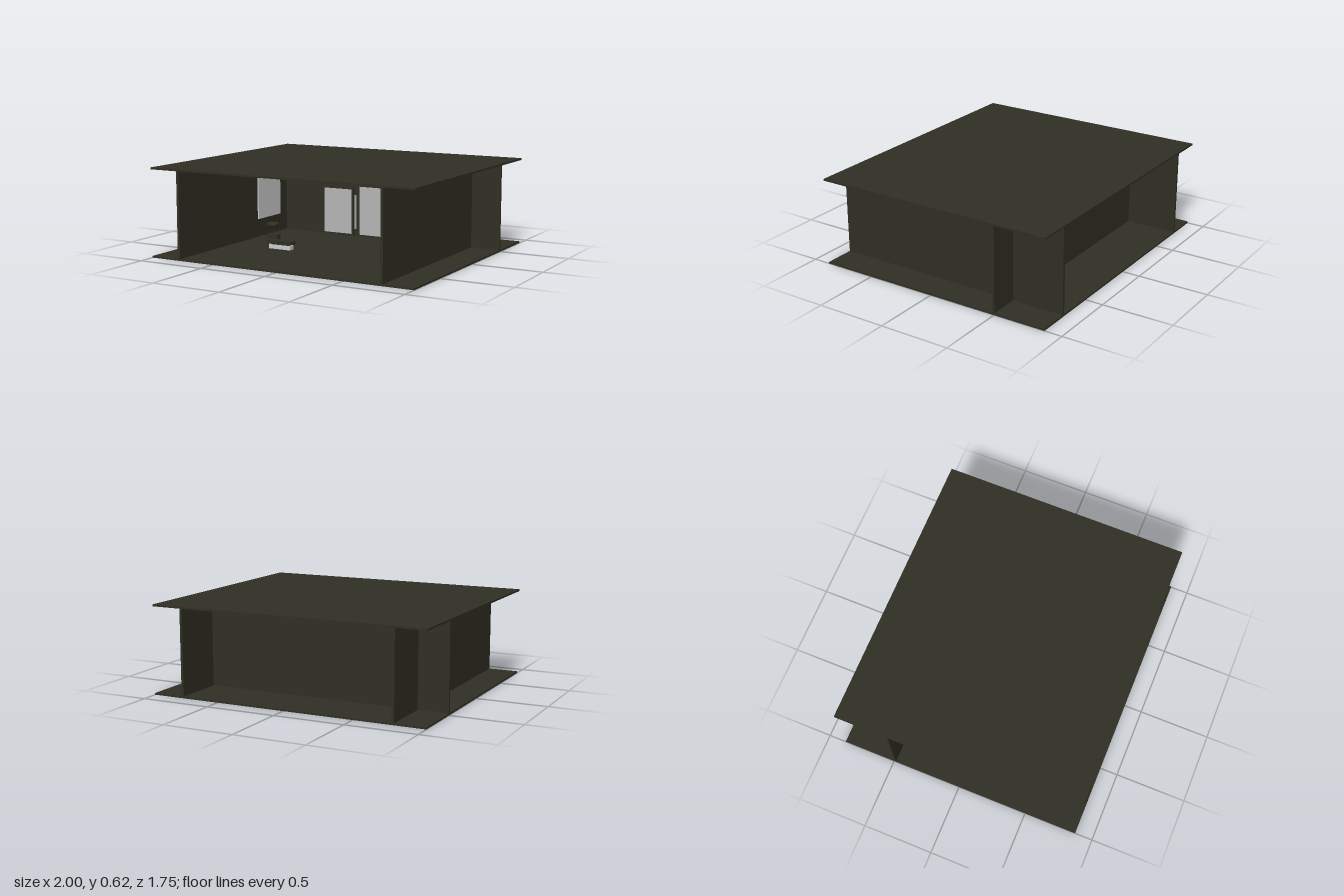
import * as THREE from 'three';

const mat = (name, color) => {
  const m = new THREE.MeshStandardMaterial({ color });
  m.name = name;
  return m;
};

export function createModel() {
  const model = new THREE.Group();
  model.name = 'pavilion';
  const dark = mat('dark olive', 0x2f2f24);
  const grey = mat('panel grey', 0xb6b6b6);
  const pale = mat('pale grey', 0xcccccc);

  // box given by its lower and upper limits on each axis
  const box = (name, material, [x0, x1], [y0, y1], [z0, z1], parent = model) => {
    const mesh = new THREE.Mesh(new THREE.BoxGeometry(x1 - x0, y1 - y0, z1 - z0), material);
    mesh.position.set((x0 + x1) / 2, (y0 + y1) / 2, (z0 + z1) / 2);
    mesh.name = name;
    parent.add(mesh);
    return mesh;
  };

  // floor and roof slabs
  const floorTop = 0.012, roofBottom = 0.612;
  box('floor', dark, [-1, 1], [0, floorTop], [-0.875, 0.875]);
  box('roof', dark, [-1, 1], [roofBottom, 0.625], [-0.875, 0.875]);

  // side walls run the full depth, the back wall crosses them
  const wallY = [floorTop, roofBottom];
  for (const s of [-1, 1]) {
    const side = s < 0 ? 'right' : 'left';
    box(side + 'Wall', dark, [s * 0.775 - 0.009, s * 0.775 + 0.009], wallY, [-0.874, 0.874]);
    box(side + 'BackWing', dark, s < 0 ? [-0.999, -0.784] : [0.784, 0.999], wallY, [-0.502, -0.484]);
  }
  box('backWall', dark, [-0.766, 0.766], wallY, [-0.502, -0.484]);

  // framed panels standing along the back wall
  const panels = [[-0.43, -0.165, 0.377], [-0.127, 0.18, 0.403], [0.215, 0.495, 0.412]];
  panels.forEach(([x0, x1, top], i) => {
    const g = new THREE.Group();
    g.name = 'framedPanel' + (i + 1);
    model.add(g);
    const t = 0.014, z = [-0.484, -0.46];
    box('frameRight', dark, [x0, x0 + t], [floorTop, top], z, g);
    box('frameLeft', dark, [x1 - t, x1], [floorTop, top], z, g);
    box('frameTop', dark, [x0 + t, x1 - t], [top - t, top], z, g);
    box('frameBottom', dark, [x0 + t, x1 - t], [floorTop, 0.025], z, g);
    box('panel', grey, [x0 + t, x1 - t], [0.025, top - t], [-0.478, -0.468], g);
  });

  // thin pale strips between the panels and a picture on the side wall
  box('stripRight', pale, [-0.153, -0.148], [0.065, 0.322], [-0.484, -0.46]);
  box('stripLeft', pale, [0.185, 0.19], [0.065, 0.345], [-0.484, -0.46]);
  box('wallPicture', pale, [-0.766, -0.757], [0.147, 0.455], [-0.38, -0.08]);

  // low bench with a pale base
  const bench = new THREE.Group();
  bench.name = 'bench';
  model.add(bench);
  box('benchBase', pale, [-0.455, -0.278], [floorTop, 0.042], [0.205, 0.25], bench);
  box('benchCore', dark, [-0.44, -0.29], [0.042, 0.052], [0.21, 0.245], bench);
  box('benchTop', dark, [-0.473, -0.262], [0.052, 0.073], [0.2, 0.258], bench);

  // sculpture on a plinth
  const sculpture = new THREE.Group();
  sculpture.name = 'sculpture';
  model.add(sculpture);
  box('plinth', dark, [-0.615, -0.53], [floorTop, 0.067], [-0.025, 0.025], sculpture);
  const stem = new THREE.Mesh(new THREE.CylinderGeometry(0.004, 0.004, 0.06, 10), dark);
  stem.name = 'stem';
  stem.position.set(-0.572, 0.094, 0);
  const body = new THREE.Mesh(new THREE.SphereGeometry(1, 20, 12), dark);
  body.name = 'body';
  body.scale.set(0.047, 0.022, 0.024);
  body.position.set(-0.585, 0.132, 0);
  const head = new THREE.Mesh(new THREE.SphereGeometry(0.015, 14, 10), dark);
  head.name = 'head';
  head.position.set(-0.545, 0.142, 0);
  sculpture.add(stem, body, head);

  return model;
}
